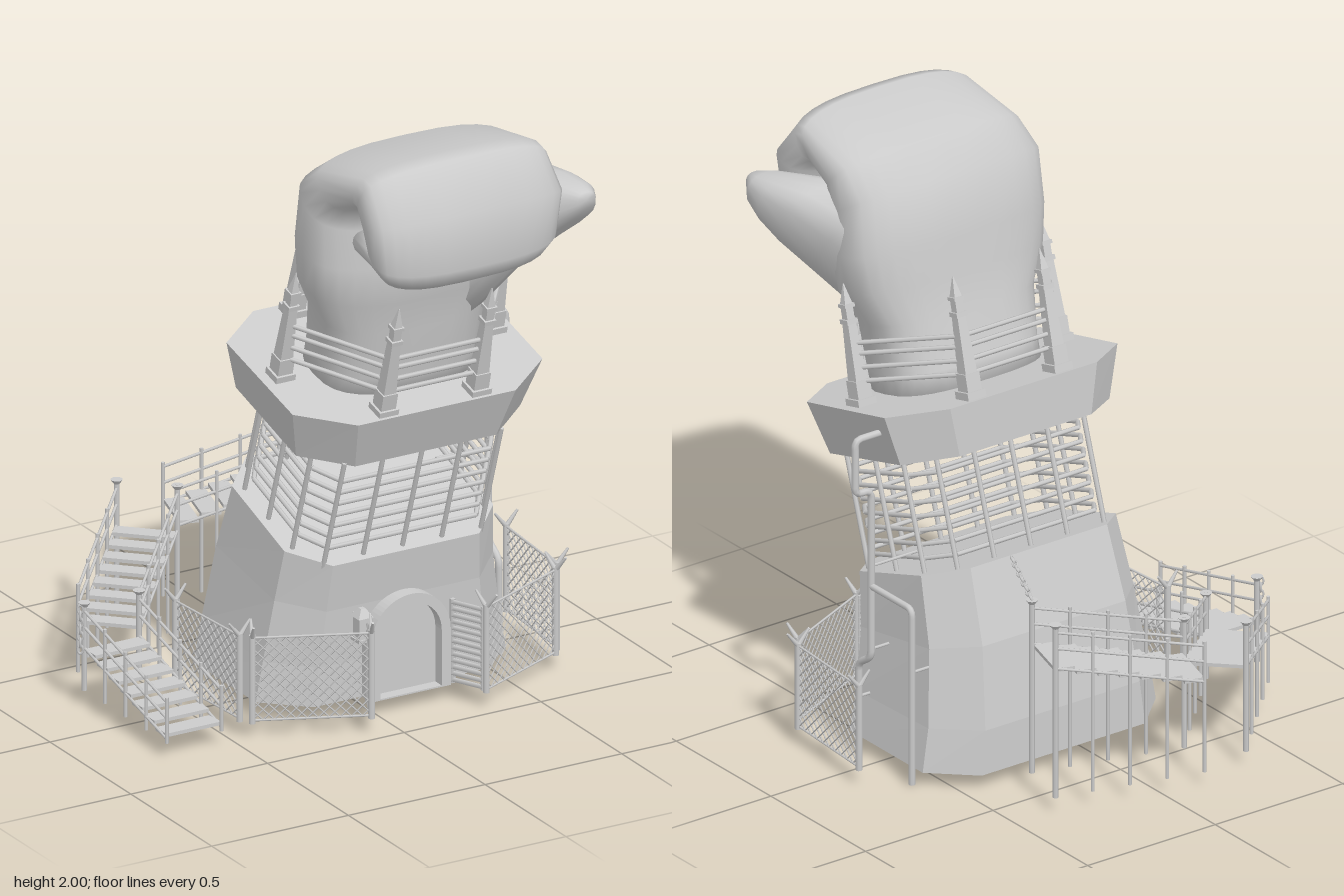
import * as THREE from 'three';
import { mergeGeometries } from 'three/addons/utils/BufferGeometryUtils.js';

const V = (x, y, z) => new THREE.Vector3(x, y, z);
const CX = 0.12; // centre line of the tower
const mat = (flat) => new THREE.MeshStandardMaterial({ color: 0xcccccc, flatShading: flat });

function addPart(parent, name, geos, flat = false) {
  const list = geos.map((g) => (g.index ? g.toNonIndexed() : g));
  const m = new THREE.Mesh(geos.length > 1 ? mergeGeometries(list) : geos[0], mat(flat));
  m.name = name;
  parent.add(m);
}

// straight bar from a to b; four sides give a square bar with faces to the front
function rod(a, b, r = 0.005, sides = 6, r2 = r) {
  const d = b.clone().sub(a), g = new THREE.CylinderGeometry(r2, r, d.length(), sides);
  if (sides === 4) g.rotateY(Math.PI / 4);
  g.applyQuaternion(new THREE.Quaternion().setFromUnitVectors(V(0, 1, 0), d.normalize()));
  return g.translate((a.x + b.x) / 2, (a.y + b.y) / 2, (a.z + b.z) / 2);
}

const box = (w, h, d, x, y, z) => new THREE.BoxGeometry(w, h, d).translate(x, y, z);

// skin through cross-sections [backZ, backY, frontZ, frontY, halfWidth, centreX]
function loft(sections, profile) {
  const pos = [], idx = [], n = profile.length, last = sections.length - 1;
  for (const [bz, by, fz, fy, hw, cx = CX] of sections)
    for (const [px, pb] of profile)
      pos.push(cx + hw * px, (by + fy) / 2 + pb * (by - fy) / 2, (bz + fz) / 2 + pb * (bz - fz) / 2);
  for (let i = 0; i < last; i++)
    for (let j = 0; j < n; j++) {
      const k = (j + 1) % n, a = i * n + j, b = i * n + k;
      idx.push(a, b, b + n, a, b + n, a + n);
    }
  for (const i of [0, last]) {
    const [bz, by, fz, fy, , cx = CX] = sections[i], c = pos.length / 3;
    pos.push(cx, (by + fy) / 2, (bz + fz) / 2);
    for (let j = 0; j < n; j++) {
      const a = i * n + j, b = i * n + ((j + 1) % n);
      i ? idx.push(c, a, b) : idx.push(c, b, a);
    }
  }
  const g = new THREE.BufferGeometry();
  g.setAttribute('position', new THREE.Float32BufferAttribute(pos, 3));
  g.setIndex(idx);
  g.computeVertexNormals();
  return g;
}

const octagon = (a, b) => [[1, -b], [1, b], [a, 1], [-a, 1], [-1, b], [-1, -b], [-a, -1], [a, -1]];

function rounded(n, power) {
  return Array.from({ length: n }, (_, i) => {
    const t = (i / n) * Math.PI * 2, c = Math.cos(t), s = Math.sin(t);
    return [Math.sign(c) * Math.abs(c) ** (2 / power), Math.sign(s) * Math.abs(s) ** (2 / power)];
  });
}

function chain(a, b, count) {
  const q = new THREE.Quaternion().setFromUnitVectors(V(0, 1, 0), b.clone().sub(a).normalize());
  return Array.from({ length: count }, (_, i) => {
    const p = a.clone().lerp(b, (i + 0.5) / count);
    return new THREE.TorusGeometry(0.01, 0.004, 5, 10).scale(0.85, 1.4, 1)
      .rotateY((i % 2) * Math.PI / 2 + 0.6).applyQuaternion(q).translate(p.x, p.y, p.z);
  });
}

// stair flight: a = inner side, b = outer side, as [x, z] at start and end
function flight(parent, name, a0, b0, a1, b1, y0, y1, n) {
  const P = (p, y) => V(p[0], y, p[1]);
  const A0 = P(a0, y0), A1 = P(a1, y1), B0 = P(b0, y0), B1 = P(b1, y1);
  const dx = a1[0] - a0[0], dz = a1[1] - a0[1], len = Math.hypot(dx, dz), w = A0.distanceTo(B0);
  const treads = [], rails = [];
  for (let i = 0; i < n; i++) {
    const t = (i + 0.5) / n, c = A0.clone().lerp(A1, t).add(B0.clone().lerp(B1, t)).multiplyScalar(0.5);
    treads.push(new THREE.BoxGeometry(len / n * 0.89, 0.012, w).rotateY(-Math.atan2(dz, dx)).translate(c.x, c.y, c.z));
  }
  for (const [s, e] of [[A0, A1], [B0, B1]]) {
    for (const h of [0, 0.07, 0.125]) rails.push(rod(s.clone().setY(s.y + h), e.clone().setY(e.y + h), 0.005));
    for (let i = 0; i <= 4; i++) {
      const p = s.clone().lerp(e, i / 4), top = p.y + 0.14;
      rails.push(rod(V(p.x, 0.05, p.z), V(p.x, top, p.z), i === 4 ? 0.009 : 0.006));
      if (i === 4) rails.push(rod(V(p.x, top, p.z), V(p.x, top + 0.014, p.z), 0.01, 10, 0.02));
    }
  }
  const g = new THREE.Group();
  g.name = name;
  addPart(g, 'treads', treads);
  addPart(g, 'railings', rails);
  parent.add(g);
}

// chain-link panel between two [x, z] points
function fencePanel(parent, name, p, q) {
  const y0 = 0.06, h = 0.28, L = Math.hypot(q[0] - p[0], q[1] - p[1]), geos = [];
  const ux = (q[0] - p[0]) / L, uz = (q[1] - p[1]) / L;
  const at = (s, y) => V(p[0] + ux * s, y0 + y, p[1] + uz * s);
  for (let s = -h; s < L; s += 0.035) {
    const t0 = Math.max(0, -s), t1 = Math.min(h, L - s);
    if (t1 - t0 < 0.005) continue;
    geos.push(rod(at(s + t0, t0), at(s + t1, t1), 0.0025, 4));
    geos.push(rod(at(s + t0, h - t0), at(s + t1, h - t1), 0.0025, 4));
  }
  for (const y of [0, h]) geos.push(rod(at(0, y), at(L, y), 0.004));
  for (const s of [0, L]) {
    geos.push(rod(at(s, -0.01), at(s, h + 0.01), 0.011, 8));
    for (const k of [-1, 1]) {
      const tip = at(s, h + 0.05).add(V(-uz * 0.04 * k, 0, ux * 0.04 * k));
      geos.push(rod(at(s, h), tip, 0.009, 6, 0.004));
    }
  }
  addPart(parent, name, geos);
}

function pipe(points, r) {
  const path = new THREE.CurvePath(), pts = points.map((p) => V(...p)), b = 0.025;
  let from = pts[0];
  for (let i = 1; i < pts.length; i++) {
    const dir = pts[i].clone().sub(pts[i - 1]).normalize(), end = i === pts.length - 1;
    const stop = end ? pts[i] : pts[i].clone().addScaledVector(dir, -b);
    path.add(new THREE.LineCurve3(from, stop));
    if (end) break;
    from = pts[i].clone().addScaledVector(pts[i + 1].clone().sub(pts[i]).normalize(), b);
    path.add(new THREE.QuadraticBezierCurve3(stop, pts[i], from));
  }
  return new THREE.TubeGeometry(path, 90, r, 8);
}

function archShape(r, spring, foot) {
  const s = new THREE.Shape();
  s.moveTo(-r, foot).lineTo(r, foot).lineTo(r, spring);
  s.absarc(0, spring, r, 0, Math.PI, false);
  s.lineTo(-r, foot);
  return s;
}

export function createModel() {
  const root = new THREE.Group();
  root.name = 'fistTower';

  // tower base and deck
  addPart(root, 'towerBase', [loft([
    [-0.36, 0.05, 0.28, 0.05, 0.457], [-0.355, 0.2, 0.28, 0.18, 0.432],
    [-0.31, 0.47, 0.29, 0.37, 0.4], [-0.23, 0.71, 0.31, 0.53, 0.382]], octagon(0.7, 0.6))], true);
  addPart(root, 'deck', [loft([
    [-0.16, 1.07, 0.43, 0.91, 0.41], [-0.15, 1.24, 0.5, 1.08, 0.457]], octagon(0.63, 0.63))], true);

  // open cage between base and deck
  const cage = new THREE.Group();
  cage.name = 'cage';
  cage.position.set(CX, 0.62, 0.05);
  cage.rotation.x = 0.32;
  const ring = octagon(0.82, 0.62).map(([x, z]) => [x * 0.35, z * 0.25]);
  const bars = [], hoops = [];
  ring.forEach(([x, z], i) => {
    const [x2, z2] = ring[(i + 1) % 8], n = [2, 1, 4, 1][i % 4], s = 0.94;
    for (let k = 0; k < n; k++) {
      const bx = x + (x2 - x) * k / n, bz = z + (z2 - z) * k / n;
      bars.push(rod(V(bx, -0.04, bz), V(bx, 0.4, bz), 0.008));
    }
    for (let k = 0; k < 7; k++) {
      const y = 0.04 + k * 0.045;
      hoops.push(rod(V(x * s, y, z * s), V(x2 * s, y, z2 * s), 0.008));
    }
  });
  addPart(cage, 'cageBars', bars);
  addPart(cage, 'cageHoops', hoops);
  root.add(cage);

  // spiked posts and rails on the tilted deck
  const parapet = new THREE.Group();
  parapet.name = 'parapet';
  parapet.position.set(CX, 1.16, 0.175);
  parapet.rotation.x = 0.25;
  const corners = [[0.387, 0.01], [0.17, 0.29], [-0.17, 0.29], [-0.387, 0.01], [-0.17, -0.285], [0.17, -0.285]];
  const posts = [], rails = [];
  corners.forEach(([x, z], i) => {
    const [x2, z2] = corners[(i + 1) % 6];
    posts.push(box(0.07, 0.025, 0.07, x, 0.01, z), box(0.054, 0.06, 0.054, x, 0.05, z));
    for (const [y0, y1, r0, r1] of [[0.08, 0.27, 0.032, 0.022], [0.265, 0.28, 0.029, 0.029], [0.28, 0.32, 0.02, 0.02],
      [0.318, 0.33, 0.027, 0.027], [0.33, 0.395, 0.02, 0.002]])
      posts.push(rod(V(x, y0, z), V(x, y1, z), r0, 4, r1));
    for (const h of [0.075, 0.12, 0.165, 0.2]) rails.push(rod(V(x, h, z), V(x2, h, z2), 0.008));
  });
  addPart(parapet, 'spikedPosts', posts, true);
  addPart(parapet, 'parapetRails', rails);
  root.add(parapet);

  // clenched hand: wrist, back of hand, knuckles, fingers curled back to the palm
  const hand = new THREE.Group();
  hand.name = 'fist';
  addPart(hand, 'handAndFingers', [loft([
    [0.02, 1.16, 0.37, 1.08, 0.28], [0.05, 1.26, 0.405, 1.17, 0.28], [0.1, 1.42, 0.42, 1.33, 0.3],
    [0.125, 1.54, 0.45, 1.44, 0.36], [0.14, 1.66, 0.48, 1.58, 0.38], [0.18, 1.86, 0.45, 1.7, 0.375],
    [0.3, 1.94, 0.47, 1.77, 0.36], [0.6, 1.998, 0.51, 1.8, 0.34], [0.65, 1.985, 0.53, 1.8, 0.34],
    [0.758, 1.84, 0.56, 1.78, 0.35], [0.755, 1.65, 0.56, 1.74, 0.33], [0.73, 1.6, 0.56, 1.73, 0.305],
    [0.66, 1.565, 0.55, 1.73, 0.28], [0.57, 1.6, 0.52, 1.73, 0.28], [0.43, 1.62, 0.43, 1.73, 0.27]], rounded(28, 2.8))]);
  addPart(hand, 'thumb', [loft([
    [0.17, 1.58, 0.4, 1.32, 0.14, 0.25], [0.27, 1.76, 0.47, 1.48, 0.165, 0.37], [0.42, 1.82, 0.545, 1.58, 0.145, 0.46],
    [0.55, 1.815, 0.61, 1.645, 0.1, 0.52], [0.635, 1.805, 0.655, 1.69, 0.07, 0.545],
    [0.688, 1.79, 0.688, 1.735, 0.032, 0.555]], rounded(18, 2.5))]);
  root.add(hand);

  // arched doorway, open gate leaves and lantern
  const frame = archShape(0.145, 0.245, 0.05);
  frame.holes.push(new THREE.Path(archShape(0.112, 0.245, 0.055).getPoints(16)));
  const ext = (s, d) => new THREE.ExtrudeGeometry(s, { depth: d, bevelEnabled: false, curveSegments: 16 });
  addPart(root, 'doorFrame', [ext(frame, 0.07).translate(CX, 0, 0.27)]);
  addPart(root, 'door', [ext(archShape(0.115, 0.245, 0.05), 0.035).translate(CX, 0, 0.265)]);
  for (const s of [-1, 1]) {
    const inner = (y) => V(CX + s * 0.155, y, 0.335), outer = (y) => V(CX + s * 0.205, y, 0.44);
    const slats = [inner, outer].map((p) => rod(p(0.055), p(0.34), 0.01, 4));
    for (let i = 0; i < 13; i++) slats.push(rod(inner(0.065 + i * 0.022), outer(0.065 + i * 0.022), 0.01, 4));
    addPart(root, s < 0 ? 'rightGate' : 'leftGate', slats);
  }
  addPart(root, 'lantern', [box(0.04, 0.075, 0.04, -0.06, 0.315, 0.34), box(0.052, 0.01, 0.052, -0.06, 0.275, 0.34),
    rod(V(-0.06, 0.352, 0.34), V(-0.06, 0.38, 0.34), 0.038, 4, 0.012), rod(V(-0.06, 0.345, 0.26), V(-0.06, 0.345, 0.34), 0.006)], true);

  // chain-link fence on both sides
  for (const s of [-1, 1]) {
    const side = s < 0 ? 'right' : 'left', X = (d) => CX + s * d;
    fencePanel(root, side + 'SideFence', [X(0.605), -0.095], [X(0.58), 0.26]);
    fencePanel(root, side + 'FrontFence', [X(0.555), 0.295], [X(0.21), 0.45]);
  }

  // drain pipes with brackets
  addPart(root, 'mainPipe', [pipe([[0.53, 1.135, 0.02], [0.655, 1.135, 0.02], [0.655, 0.945, 0.02], [0.592, 0.945, 0.02],
    [0.592, 0.36, 0.02], [0.592, 0.32, 0.085], [0.592, 0, 0.085]], 0.012)]);
  addPart(root, 'branchPipe', [pipe([[0.592, 0.61, 0.02], [0.592, 0.61, -0.195], [0.592, 0, -0.195]], 0.011)]);
  addPart(root, 'pipeBrackets', [[0.68, 0.02], [0.39, 0.02], [0.39, -0.195], [0.2, 0.085]]
    .map(([y, z]) => rod(V(0.4, y, z), V(0.592, y, z), 0.005)));

  // stairway in three flights round the back
  flight(root, 'lowerStairs', [-0.55, 0.3], [-0.75, 0.3], [-0.55, -0.21], [-0.75, -0.21], 0.065, 0.195, 7);
  flight(root, 'middleStairs', [-0.55, -0.21], [-0.69, -0.35], [-0.195, -0.573], [-0.336, -0.71], 0.21, 0.35, 8);
  flight(root, 'upperStairs', [-0.195, -0.573], [-0.14, -0.755], [0.3, -0.436], [0.348, -0.625], 0.365, 0.5, 7);

  // chains
  addPart(root, 'upperChain', chain(V(0.3, 0.655, -0.436), V(0.23, 0.705, -0.235), 9));
  addPart(root, 'lowerChain', chain(V(-0.765, 0.34, -0.21), V(-0.765, 0.18, -0.21), 7));
  return root;
}
